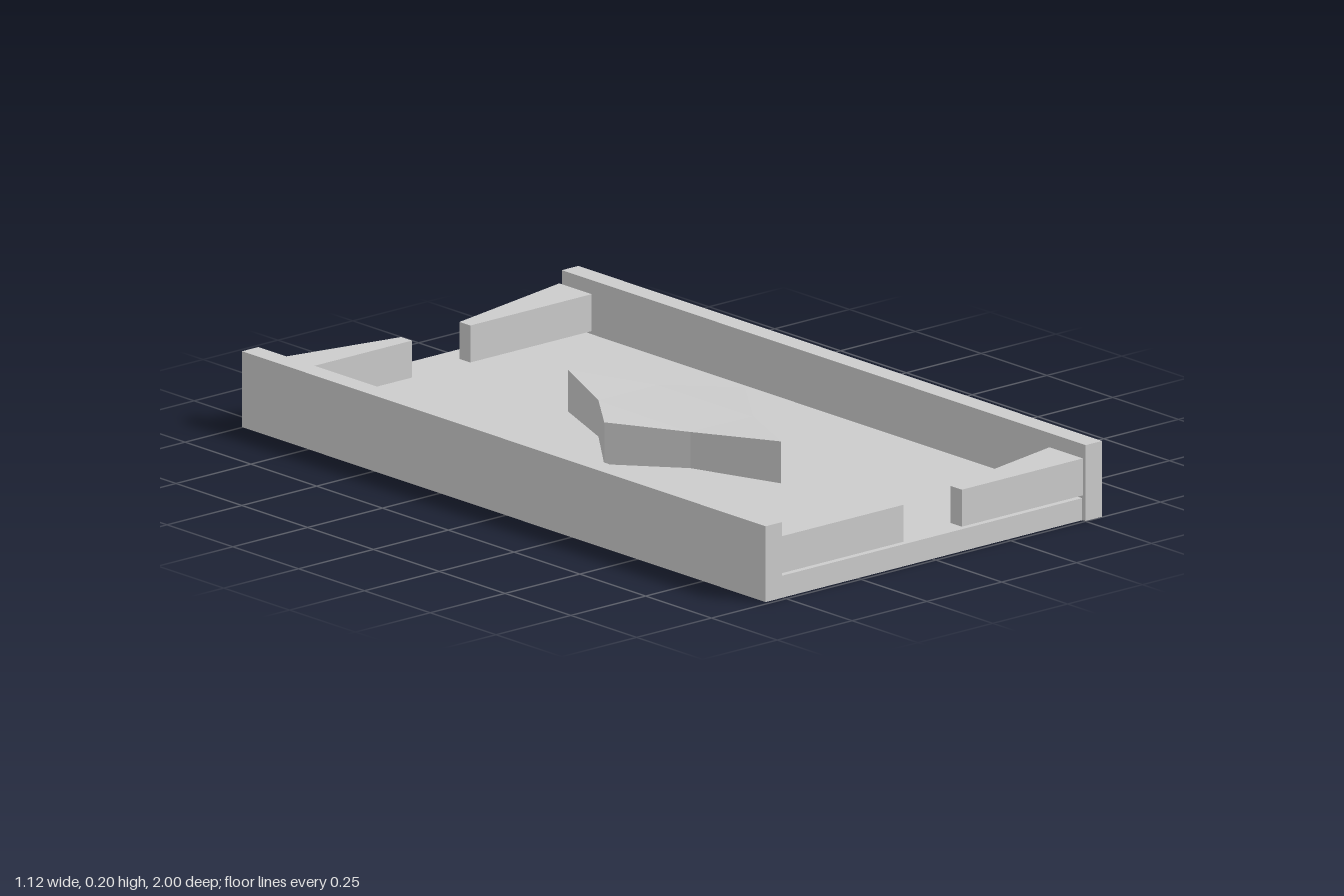
import * as THREE from 'three';

const material = new THREE.MeshStandardMaterial({ color: 0xcccccc, flatShading: true });

export function createModel() {
  const model = new THREE.Group();
  model.name = 'tableTray';

  const add = (name, geometry) => {
    const mesh = new THREE.Mesh(geometry, material);
    mesh.name = name;
    model.add(mesh);
  };

  // Box given by its minimum and maximum corners
  const block = (name, [x0, y0, z0], [x1, y1, z1]) => {
    const g = new THREE.BoxGeometry(x1 - x0, y1 - y0, z1 - z0);
    g.translate((x0 + x1) / 2, (y0 + y1) / 2, (z0 + z1) / 2);
    add(name, g);
  };

  // Upright prism over an outline of [x, z] points
  const prism = (outline, y0, y1) => {
    const shape = new THREE.Shape(outline.map(([x, z]) => new THREE.Vector2(x, -z)));
    const g = new THREE.ExtrudeGeometry(shape, { depth: y1 - y0, bevelEnabled: false });
    return g.rotateX(-Math.PI / 2).translate(0, y0, 0);
  };

  // Floor and the two long side walls, slightly offset from one another
  block('floor', [-0.555, 0, -1], [0.56, 0.058, 0.987]);
  block('rightWall', [-0.56, 0.001, -1], [-0.505, 0.2, 0.99]);
  block('leftWall', [0.5, 0.001, -0.99], [0.555, 0.2, 1]);

  // Tapered end pieces, hovering just above the floor, with a gap between each pair
  for (const [side, outer, inner] of [['right', -0.505, -0.1], ['left', 0.5, 0.095]]) {
    add(side + 'BackWedge',
      prism([[outer, -1], [inner, -0.918], [inner, -0.877], [outer, -0.877]], 0.066, 0.163));
    add(side + 'FrontWedge',
      prism([[outer, 0.863], [inner, 0.948], [inner, 0.99], [outer, 0.99]], 0.066, 0.163));
  }

  // Four-pointed centre island; its inner corners are a little thinner than its tips
  const island = prism([
    [0.01, -0.41], [0.11, -0.18], [0.24, 0], [0.11, 0.18],
    [0.005, 0.405], [-0.095, 0.175], [-0.22, -0.01], [-0.09, -0.18],
  ], 0.063, 0.173);
  const p = island.attributes.position;
  for (let i = 0; i < p.count; i++) {
    const isInner = Math.abs(p.getX(i)) > 0.05 && Math.abs(p.getZ(i)) > 0.1;
    if (isInner) p.setY(i, p.getY(i) > 0.1 ? 0.165 : 0.07);
  }
  island.computeVertexNormals();
  add('centreIsland', island);

  return model;
}
